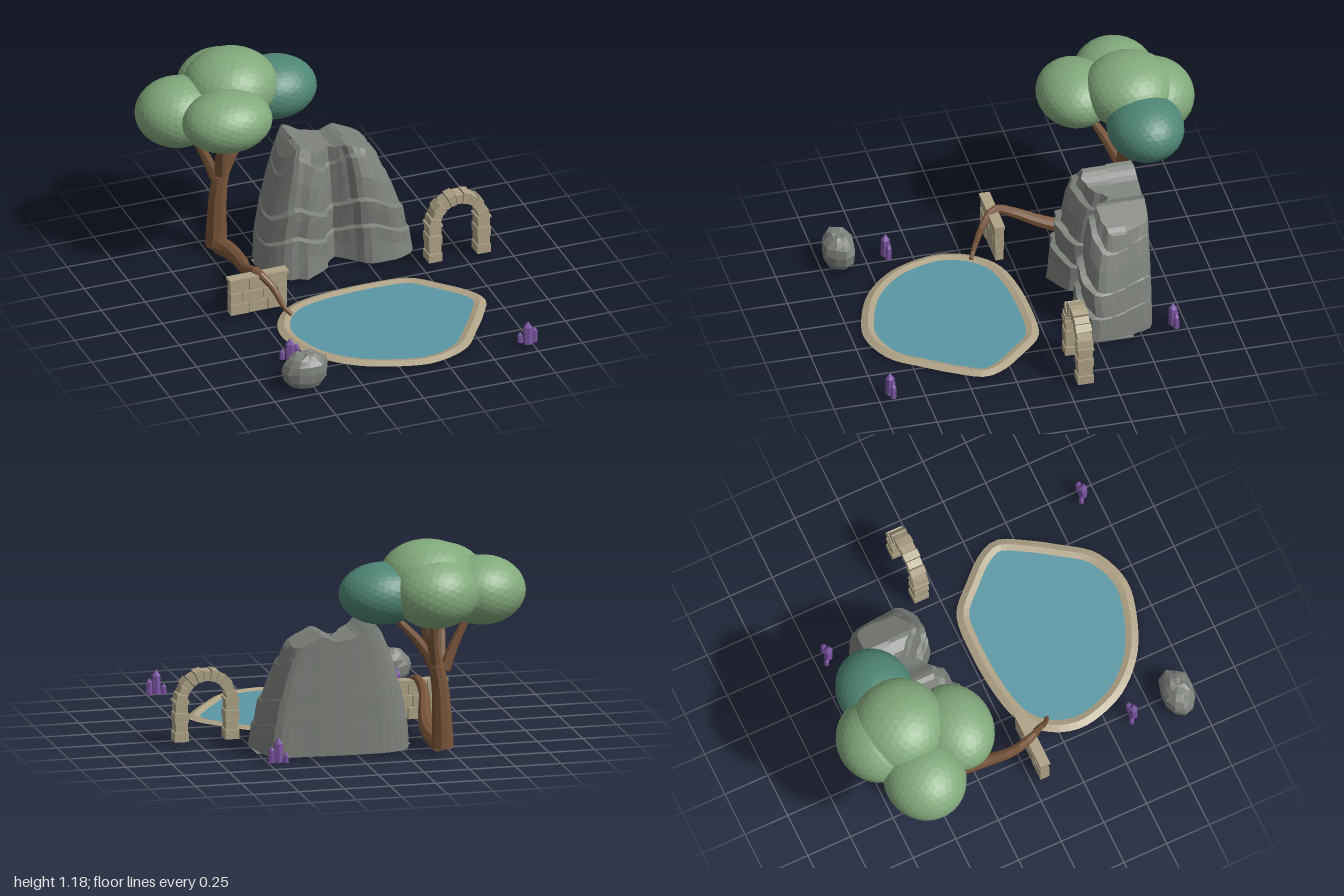
import * as THREE from 'three';

const paint = (name, color, extra = {}) => {
  const m = new THREE.MeshStandardMaterial({ color, flatShading: true, ...extra });
  m.name = name;
  return m;
};
const hash = (i, j = 0) => { // repeatable value in -1..1
  const s = Math.sin(i * 127.1 + j * 311.7 + 4.3) * 43758.5453;
  return 2 * (s - Math.floor(s)) - 1;
};

// Skins a stack of closed rings, each running counterclockwise seen from above
function loft(rings) {
  const n = rings[0].length, pos = [], index = [];
  rings.forEach(r => r.forEach(p => pos.push(...p)));
  for (let i = 0; i < rings.length - 1; i++) for (let j = 0; j < n; j++) {
    const a = i * n + j, b = i * n + (j + 1) % n;
    index.push(a, b, b + n, a, b + n, a + n);
  }
  const g = new THREE.BufferGeometry();
  g.setAttribute('position', new THREE.Float32BufferAttribute(pos, 3));
  g.setIndex(index);
  g.computeVertexNormals();
  return g;
}

// Tube that tapers from r0 to r1, with flat closed ends
function limb(points, r0, r1, steps = 14, sides = 9) {
  const path = new THREE.CatmullRomCurve3(points.map(p => new THREE.Vector3(...p)));
  const g = new THREE.TubeGeometry(path, steps, 1, sides);
  const pos = g.attributes.position, v = new THREE.Vector3();
  for (let k = 0; k < pos.count; k++) {
    const i = Math.floor(k / (sides + 1)), end = i === 0 || i === steps;
    const c = path.getPointAt(i / steps);
    const to = path.getPointAt(THREE.MathUtils.clamp(i, 1, steps - 1) / steps);
    v.fromBufferAttribute(pos, k).sub(c).multiplyScalar(end ? 0 : r0 + (r1 - r0) * i / steps).add(to);
    pos.setXYZ(k, v.x, v.y, v.z);
  }
  g.computeVertexNormals();
  return g;
}

// Evenly spaced points on a smooth closed outline in the ground plane
const outline = (pts, n, tension) => new THREE.CatmullRomCurve3(
  pts.map(([x, z]) => new THREE.Vector3(x, 0, z)), true, 'catmullrom', tension
).getSpacedPoints(n).slice(0, n);

function interp(table, x) {
  if (x <= table[0][0]) return table[0][1];
  for (let i = 1; i < table.length; i++) {
    const [x0, y0] = table[i - 1], [x1, y1] = table[i];
    if (x <= x1) return y0 + (y1 - y0) * (x - x0) / (x1 - x0);
  }
  return table[table.length - 1][1];
}

export function createModel() {
  const model = new THREE.Group();
  const rock = paint('rock grey', 0x7d817b), stone = paint('sandstone', 0xaea286);
  const bark = paint('bark brown', 0x775439), leaf = paint('leaf green', 0x82a97c);
  const teal = paint('leaf teal', 0x4f8675), crystal = paint('crystal purple', 0x7c55a3);
  const water = paint('water blue', 0x5b97a5, { side: THREE.DoubleSide });
  const group = name => {
    const g = new THREE.Group();
    g.name = name;
    model.add(g);
    return g;
  };
  const add = (parent, name, geo, mat, x = 0, y = 0, z = 0) => {
    const m = new THREE.Mesh(geo, mat);
    m.name = name;
    m.position.set(x, y, z);
    parent.add(m);
    return m;
  };

  // Tree: trunk, branches, long root and foliage
  const tree = group('tree');
  add(tree, 'trunk', limb([[-.45, -.02, -.63], [-.445, .2, -.63], [-.435, .37, -.63], [-.41, .5, -.63],
    [-.375, .63, -.63], [-.34, .95, -.64]], .062, .024, 18), bark);
  [
    [[-.44, .4, -.63], [-.5, .56, -.62], [-.64, .84, -.62]],
    [[-.43, .43, -.63], [-.46, .62, -.54], [-.5, .86, -.4]],
    [[-.43, .42, -.63], [-.33, .6, -.645], [-.11, .84, -.66]],
    [[-.41, .46, -.63], [-.38, .62, -.69], [-.36, .86, -.77]],
  ].forEach(p => add(tree, 'branch', limb(p, .036, .014, 8, 8), bark));
  add(tree, 'root', limb([[-.45, .04, -.63], [-.425, .06, -.5], [-.43, .09, -.35], [-.465, .14, -.18], [-.495, .195, -.05],
    [-.485, .24, .06], [-.43, .18, .14], [-.38, .07, .2], [-.32, .01, .24]], .052, .01, 24), bark);
  [ // centre, radii
    [[-.36, .985, -.65], [.255, .19, .25], leaf],
    [[-.66, .885, -.64], [.235, .185, .22], leaf],
    [[-.483, .927, -.38], [.245, .162, .205], leaf],
    [[-.37, .92, -.78], [.235, .192, .22], leaf],
    [[-.108, .907, -.672], [.236, .165, .205], teal],
  ].forEach(([c, r, mat]) => add(tree, 'foliage', new THREE.IcosahedronGeometry(1, 5), mat, ...c).scale.set(...r));

  // Cliff: two-lobed outline stacked in stepped ledges, its crest following a height profile
  const plan = outline([[-.12, -.14], [-.05, -.16], [.02, -.21], [.08, -.31], [.15, -.28], [.22, -.2], [.3, -.165],
    [.45, -.18], [.52, -.25], [.5, -.42], [.455, -.56], [.28, -.585], [.08, -.6], [-.15, -.6], [-.27, -.55],
    [-.32, -.4], [-.31, -.26], [-.24, -.18]], 56, .4);
  const crest = [[-.32, .62], [-.22, .715], [-.15, .7], [-.06, .66], [.13, .632], [.245, .668], [.49, .6], [.52, .57]];
  const ledges = [ // height, width and depth fractions, closing factor
    [0, 1, 1, 0], [0, 1, 1, 1], [.16, .985, .97, 1], [.28, .965, .965, 1], [.295, .95, .9, 1], [.44, .91, .92, 1],
    [.515, .89, .925, 1], [.53, .87, .845, 1], [.72, .79, .81, 1], [.88, .71, .75, 1], [.9, .69, .68, 1],
    [1, .62, .63, 1], [1, .62, .63, 0],
  ];
  add(model, 'cliff', loft(ledges.map(([t, s, f, k], i) => plan.map((p, j) => {
    const front = THREE.MathUtils.clamp((p.z + .5) / .15, 0, 1);
    const rough = front * (hash(j) * .009 + hash(j, i) * .004);
    const z = -.595 + (p.z + .595) * f + rough;
    const wave = i > 1 && i < 11 ? .03 * Math.sin(p.x * 14 + 4) * front : 0;
    return [.1 + (p.x - .1) * s, .015 + t * (interp(crest, p.x) - .015) + wave, -.45 + (z + .45) * k];
  }))), rock);

  // Boulder
  const boulder = [[.022, 0], [.022, .72], [.06, .94], [.11, 1], [.15, .93], [.18, .72], [.198, .42], [.2, 0]];
  add(model, 'boulder', loft(boulder.map(([y, r], i) => Array.from({ length: 11 }, (_, j) => {
    const a = j / 11 * Math.PI * 2, q = r * (1 + .07 * hash(j, 3) + .04 * hash(j, i));
    return [Math.sin(a) * .126 * q, y + (r && i > 1 ? .009 * hash(i, j) : 0), Math.cos(a) * .093 * q];
  }))), rock, -.537, 0, .9);

  // Pool: ridged stone rim around flat water
  const shore = outline([[.19, .015], [.39, .04], [.53, .165], [.64, .29], [.68, .41], [.61, .555], [.515, .70],
    [.39, .86], [.19, .938], [0, .91], [-.21, .82], [-.37, .67], [-.45, .5], [-.47, .345], [-.415, .195],
    [-.29, .08], [-.08, .028]].reverse(), 64, .5);
  const inset = (d, y) => shore.map((p, j) => {
    const a = shore[(j + 63) % 64], b = shore[(j + 1) % 64];
    const t = new THREE.Vector3().subVectors(b, a).normalize();
    return [p.x + t.z * d, y, p.z - t.x * d];
  });
  const pool = group('pool');
  add(pool, 'rim', loft([inset(0, .014), inset(.036, .03), inset(.072, .018), inset(0, .014)]), stone);
  add(pool, 'water', loft([inset(.068, .02), shore.map(() => [.1, .02, .46])]), water);

  // Low wall: staggered blocks under a coping
  const wall = group('wall');
  for (let row = 0; row < 3; row++) {
    const cuts = row % 2 ? [0, .07, .19, .27, .325] : [0, .11, .215, .325];
    for (let i = 0; i < cuts.length - 1; i++) {
      const w = cuts[i + 1] - cuts[i];
      add(wall, 'block', new THREE.BoxGeometry(w - .005, .062, .048 + .004 * hash(i, row)), stone,
        -.65 + cuts[i] + w / 2, .054 + row * .066, .07);
    }
  }
  add(wall, 'coping', new THREE.BoxGeometry(.335, .018, .058), stone, -.487, .228, .07);

  // Arch: two block columns and a ring of wedge stones
  const arch = group('arch'), cx = .712, cz = -.093;
  for (const side of [-1, 1]) {
    for (let i = 0; i < 4; i++) {
      add(arch, 'columnBlock', new THREE.BoxGeometry(i % 2 ? .068 : .076, .05, i % 2 ? .078 : .086), stone,
        cx + side * .138, .047 + i * .053, cz);
    }
    add(arch, 'capital', new THREE.BoxGeometry(.08, .014, .09), stone, cx + side * .138, .238, cz);
  }
  for (let i = 0; i < 11; i++) {
    const a = i * Math.PI / 11 + .015, b = (i + 1) * Math.PI / 11 - .015, R = i % 2 ? .162 : .169;
    const wedge = new THREE.Shape([[.108, a], [R, a], [R, b], [.108, b]].map(
      ([r, t]) => new THREE.Vector2(Math.cos(t) * r, Math.sin(t) * r)));
    const depth = i % 2 ? .08 : .086;
    add(arch, 'wedgeStone', new THREE.ExtrudeGeometry(wedge, { depth, bevelEnabled: false }), stone, cx, .24, cz - depth / 2);
  }

  // Crystal clusters: pointed six-sided prisms
  for (const [x, z] of [[.715, .935], [-.525, .645], [.463, -.677]]) {
    const cluster = group('crystalCluster');
    cluster.position.set(x, .022, z);
    [[0, 0, .026, .133], [-.035, -.025, .015, .062], [.04, -.008, .017, .09]].forEach(([px, pz, r, h]) => {
      const profile = [[0, 0], [r, 0], [r * .92, h - r * 1.3], [0, h]].map(p => new THREE.Vector2(...p));
      add(cluster, 'crystal', new THREE.LatheGeometry(profile, 6), crystal, px, 0, pz);
    });
  }
  return model;
}
